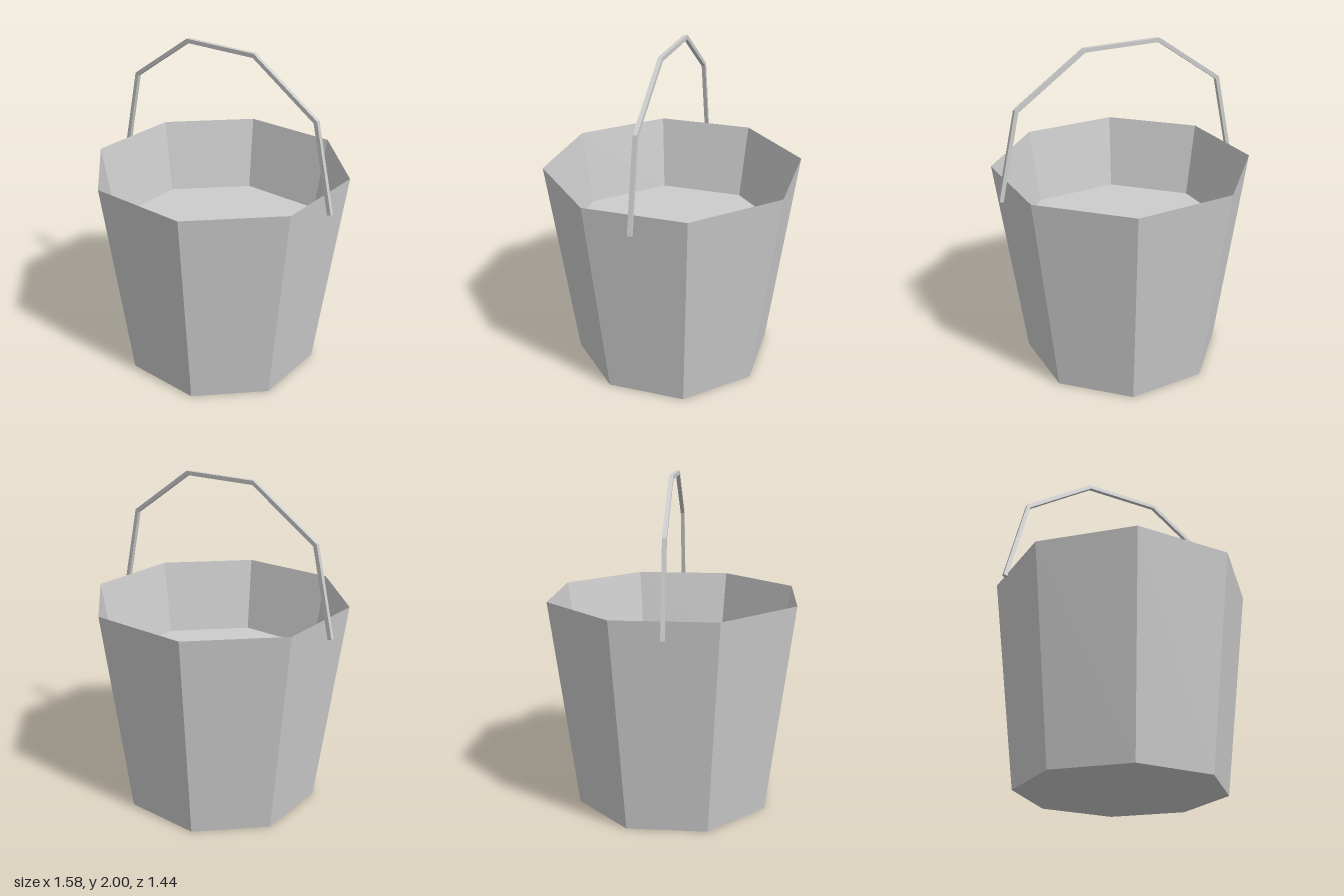
import * as THREE from 'three';

const metal = new THREE.MeshStandardMaterial({ color: 0xcccccc });
metal.name = 'grey metal';

const SIDES = 8;
// Corner radius of an octagon from its half width across flats
const corner = (halfWidth) => halfWidth / Math.cos(Math.PI / SIDES);

// Octagonal pail: underside, outer wall, sharp rim, inner wall, raised floor
function makePail() {
  const profile = [
    [0, 0],
    [0.57, 0],
    [0.72, 1.28],
    [0.648, 0.81],
    [0, 0.81],
  ].map(([halfWidth, y]) => new THREE.Vector2(corner(halfWidth), y));
  const geometry = new THREE.LatheGeometry(profile, SIDES, Math.PI / SIDES).toNonIndexed();
  geometry.computeVertexNormals(); // flat facets
  const pail = new THREE.Mesh(geometry, metal);
  pail.name = 'pail';
  return pail;
}

// Bent square bar arching over the pail
function makeHandle() {
  const outer = [[0.792, 1.19], [0.67, 1.711], [0.243, 2.0]];
  const inner = [[0.768, 1.184], [0.649, 1.696], [0.236, 1.976]];
  const mirrored = (points) => points.map(([x, y]) => [-x, y]).reverse();
  const outline = [...outer, ...mirrored(outer), ...mirrored(inner).reverse(), ...inner.slice().reverse()];
  const shape = new THREE.Shape(outline.map(([x, y]) => new THREE.Vector2(x, y)));
  const depth = 0.024;
  const geometry = new THREE.ExtrudeGeometry(shape, { depth, bevelEnabled: false });
  geometry.translate(0, 0, -depth / 2);
  const handle = new THREE.Mesh(geometry, metal);
  handle.name = 'handle';
  return handle;
}

export function createModel() {
  const bucket = new THREE.Group();
  bucket.name = 'bucket';
  bucket.add(makePail(), makeHandle());
  return bucket;
}
